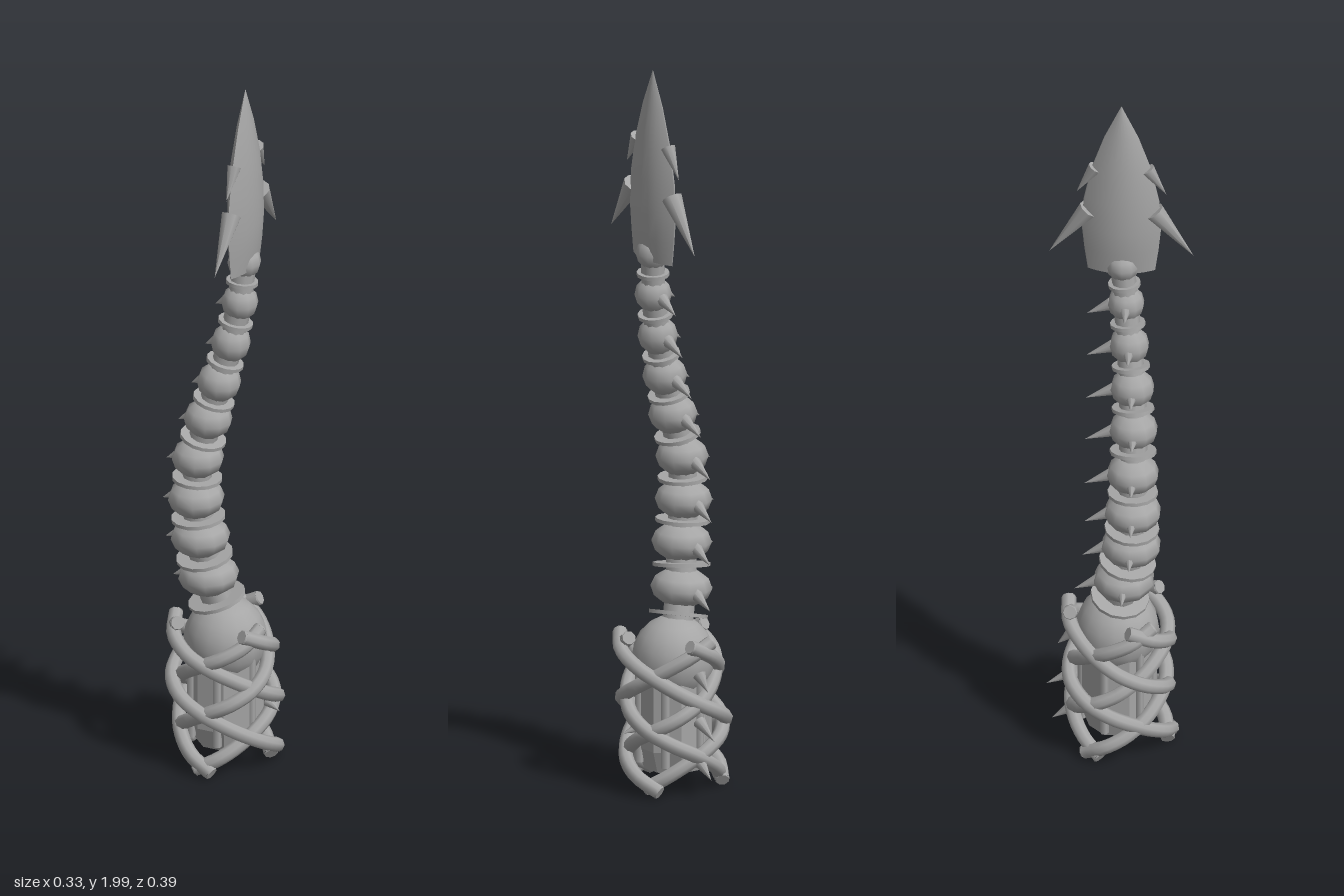
import * as THREE from 'three';

const V = (x, y, z) => new THREE.Vector3(x, y, z);

export function createModel() {
  const model = new THREE.Group();
  const grey = new THREE.MeshStandardMaterial({ color: 0xa6a6a6 });
  grey.name = 'grey';

  const add = (name, geometry, parent = model) => {
    const mesh = new THREE.Mesh(geometry, grey);
    mesh.name = name;
    parent.add(mesh);
    return mesh;
  };
  const group = (name) => {
    const g = new THREE.Group();
    g.name = name;
    model.add(g);
    return g;
  };
  // Straight tapered rod between two points; a zero end radius makes a spike
  const rod = (name, a, b, ra, rb, sides, parent) => {
    const d = b.clone().sub(a);
    const mesh = add(name, new THREE.CylinderGeometry(rb, ra, d.length(), sides), parent);
    mesh.position.copy(a).add(b).multiplyScalar(0.5);
    mesh.quaternion.setFromUnitVectors(V(0, 1, 0), d.normalize());
    return mesh;
  };
  const spike = (name, a, b, r, parent) => rod(name, a, b, r, 0, 8, parent);

  // Base: tapered core, dome and upright ribs
  const base = group('base');
  const coreProfile = [[0, 0.05], [0.08, 0.06], [0.1, 0.12], [0.1, 0.38]]
    .map(([r, y]) => new THREE.Vector2(r, y));
  const coreGeometry = new THREE.LatheGeometry(coreProfile, 8, Math.PI / 8).toNonIndexed();
  coreGeometry.computeVertexNormals();
  add('core', coreGeometry, base);
  const dome = add('dome', new THREE.SphereGeometry(0.112, 16, 10), base);
  dome.scale.y = 1.05;
  dome.position.y = 0.36;
  for (let i = 0; i < 6; i++) {
    const a = (i + 0.2) * Math.PI / 3;
    const x = 0.095 * Math.sin(a), z = 0.095 * Math.cos(a);
    rod('rib', V(x, 0.08, z), V(x, 0.37, z), 0.012, 0.012, 6, base);
  }

  // Cage: three vines wound each way around the base
  const cage = group('cage');
  for (const side of [1, -1]) {
    for (let k = 0; k < 3; k++) {
      const points = [];
      for (let i = 0; i <= 12; i++) {
        const t = i / 12;
        const a = side * (-75 + 120 * k + 325 * t) * Math.PI / 180;
        const r = 0.128 + 0.011 * Math.sin(t * Math.PI * 4 + k) + side * 0.004;
        points.push(V(r * Math.sin(a), 0.425 - 0.4 * t, 0.005 + r * Math.cos(a)));
      }
      const curve = new THREE.CatmullRomCurve3(points);
      add('vine', new THREE.TubeGeometry(curve, 40, 0.02, 8), cage);
      for (const t of [0, 1]) {
        const p = curve.getPoint(t), d = curve.getTangent(t).multiplyScalar(t ? 0.004 : -0.004);
        rod('vineEnd', p, p.clone().add(d), 0.02, 0.018, 8, cage);
      }
    }
  }
  for (const [y, tip] of [[0.34, -0.16], [0.21, -0.19], [0.1, -0.175]]) {
    spike('cageThorn', V(0, y, -0.12), V(0, y - 0.04, tip), 0.018, cage);
  }
  spike('cageThorn', V(0.12, 0.19, -0.01), V(0.162, 0.175, 0.005), 0.015, cage);

  // Spine: x, y, z and radius of each vertebra
  const beads = [
    [-0.04, 0.545, 0.02, 0.083], [-0.055, 0.665, 0.04, 0.081], [-0.065, 0.78, 0.045, 0.077],
    [-0.06, 0.9, 0.045, 0.071], [-0.03, 1.022, 0.045, 0.066], [0, 1.135, 0.04, 0.06],
    [0.03, 1.253, 0.03, 0.054], [0.052, 1.373, 0.02, 0.05], [0.06, 1.49, 0.01, 0.046],
  ];
  const spine = group('spine');
  let previous = V(-0.01, 0.43, 0);
  beads.forEach(([x, y, z, r], i) => {
    const center = V(x, y, z);
    const neckRadius = 0.02 + r * 0.28;
    rod('neck', previous, center, neckRadius, neckRadius, 10, spine);
    // Thin collar between neighbouring vertebrae
    const middle = previous.clone().lerp(center, i ? 0.5 : 0.4);
    const step = center.clone().sub(previous).normalize().multiplyScalar(0.005);
    rod('collar', middle.clone().sub(step), middle.clone().add(step), r * 0.95, r * 0.95, 14, spine);
    const bead = add('vertebra', new THREE.SphereGeometry(r, 10, 6), spine);
    bead.position.copy(center);
    bead.scale.y = Math.min(1, 0.054 / r);
    bead.rotation.z = -step.x * 60;
    if (i < 8) {
      spike('backThorn', V(x, y - 0.005, z - r * 0.8), V(x, y - 0.038, Math.min(-0.085, z - r - 0.05)), 0.018, spine);
      spike('sideThorn', V(x - r * 0.75, y, z), V(x - r - 0.022, y - 0.02, z), 0.016, spine);
    }
    previous = center;
  });

  // Blade: lens-shaped sections; height, half width in z, half thickness in x
  const sections = [
    [1.475, 0.09, 0.024], [1.54, 0.099, 0.034], [1.61, 0.106, 0.039], [1.7, 0.101, 0.038],
    [1.8, 0.08, 0.032], [1.9, 0.046, 0.019], [2, 0, 0],
  ];
  const n = sections.length - 1;
  const bladeGeometry = new THREE.CylinderGeometry(1, 1, n, 24, n);
  const pos = bladeGeometry.attributes.position;
  for (let i = 0; i < pos.count; i++) {
    const [y, w, t] = sections[Math.round(pos.getY(i) + n / 2)];
    const s = pos.getX(i);
    pos.setXYZ(i, t * s * Math.abs(s), y, w * pos.getZ(i));
  }
  bladeGeometry.computeVertexNormals();
  const head = group('head');
  head.position.set(0.062, 0, 0.007);
  add('blade', bladeGeometry, head);
  for (const s of [1, -1]) {
    spike('lowerBarb', V(0, 1.665, s * 0.088), V(0, 1.525, s * 0.193), 0.028, head);
    spike('upperBarb', V(0, 1.8, s * 0.07), V(0, 1.72, s * 0.12), 0.02, head);
  }
  return model;
}
